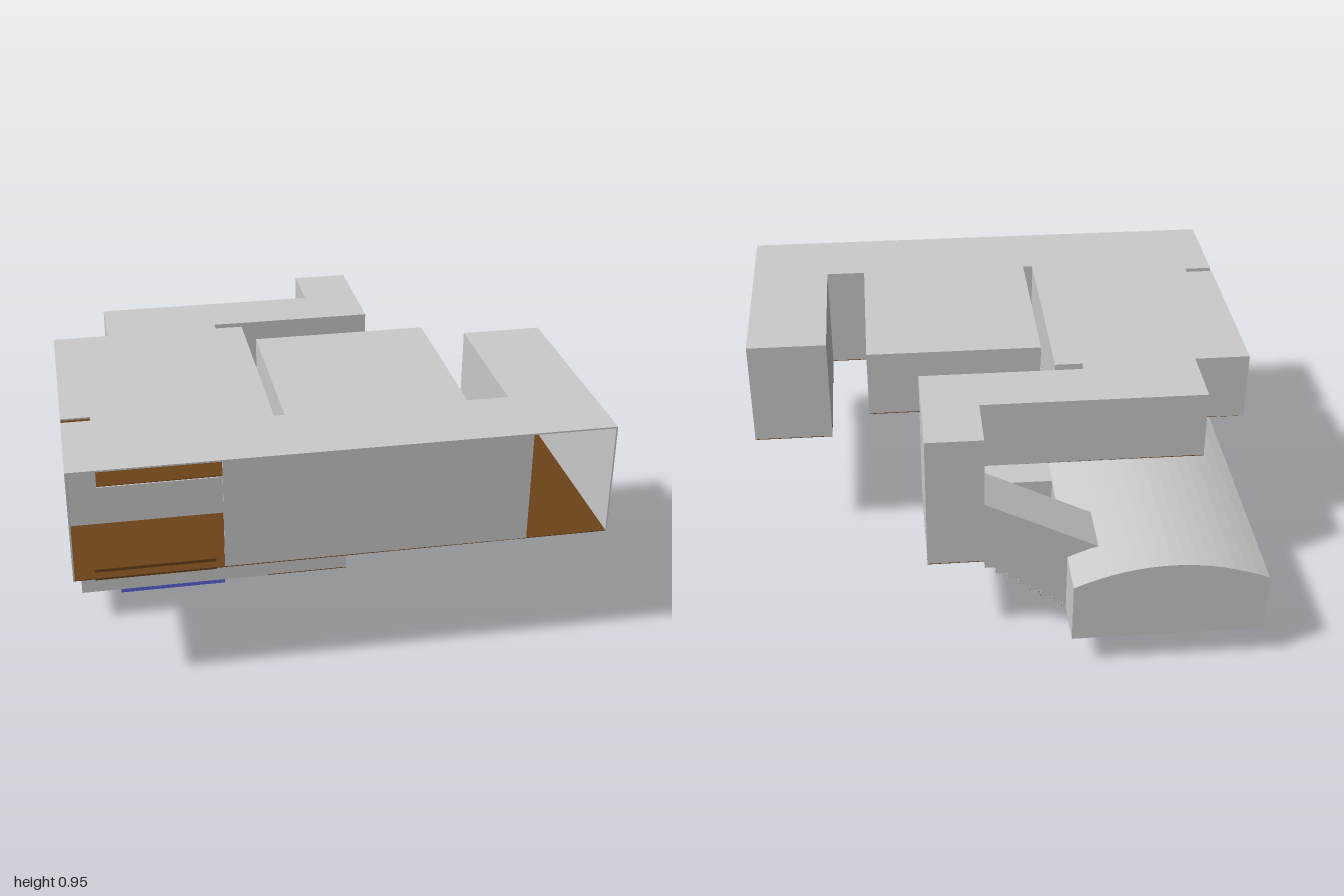
import * as THREE from 'three';

const grey = new THREE.MeshStandardMaterial({ color: 0xcccccc });
const brown = new THREE.MeshStandardMaterial({ color: 0x6b4318 });
const blue = new THREE.MeshStandardMaterial({ color: 0x5a64dc });

const toShape = pts => new THREE.Shape(pts.map(([a, b]) => new THREE.Vector2(a, b)));

export function createModel() {
  const root = new THREE.Group();

  const group = name => {
    const g = new THREE.Group();
    g.name = name;
    root.add(g);
    return g;
  };
  const add = (parent, name, geometry, material) => {
    const mesh = new THREE.Mesh(geometry, material);
    mesh.name = name;
    parent.add(mesh);
  };
  // Box from its two extreme corners
  const box = (parent, name, x0, x1, y0, y1, z0, z1, material = grey) => {
    const g = new THREE.BoxGeometry(x1 - x0, y1 - y0, z1 - z0);
    g.translate((x0 + x1) / 2, (y0 + y1) / 2, (z0 + z1) / 2);
    add(parent, name, g, material);
  };
  // Horizontal slab from an (x, z) outline
  const slab = (parent, name, pts, y0, y1, material) => {
    const s = toShape(pts.map(([x, z]) => [x, -z]));
    const g = new THREE.ExtrudeGeometry(s, { depth: y1 - y0, bevelEnabled: false });
    g.rotateX(-Math.PI / 2).translate(0, y0, 0);
    add(parent, name, g, material);
  };
  // Prism from an (x, y) profile running along z
  const prism = (parent, name, pts, z0, z1) => {
    const g = new THREE.ExtrudeGeometry(toShape(pts), { depth: z1 - z0, bevelEnabled: false });
    g.translate(0, 0, z0);
    add(parent, name, g, grey);
  };

  // ---- Upper storey ----
  const upper = group('upperStorey');
  const TOP = 0.95, MAIN = 0.51, RAISED = 0.67, T = 0.006, FLOOR = 0.003;

  slab(upper, 'flatRoof', [
    [-1, 0.93], [1, 0.93], [1, 0], [0.68, 0], [0.68, 0.62], [0.52, 0.62], [0.52, -0.09],
    [-0.18, -0.09], [-0.18, 0.62], [-0.22, 0.62], [-0.22, -0.23], [-0.33, -0.23], [-0.33, -0.27],
    [0.32, -0.27], [0.32, -0.74], [0.1, -0.74], [0.1, -0.5], [-0.78, -0.5], [-0.78, -0.23],
    [-1, -0.23], [-1, 0.51], [-0.89, 0.51], [-0.89, 0.54], [-1, 0.54],
  ], TOP - 0.006, TOP, grey);

  // Low floor along the front, raised floors behind it
  slab(upper, 'mainFloor', [
    [-1, 0.93], [1, 0.93], [1, 0], [0.68, 0], [0.68, 0.62], [-0.22, 0.62], [-0.22, 0.54], [-1, 0.54],
  ], MAIN, MAIN + FLOOR, brown);
  slab(upper, 'raisedFloor', [
    [-1, 0.51], [-0.89, 0.51], [-0.89, 0.54], [-0.22, 0.54],
    [-0.22, -0.23], [-0.33, -0.23], [-0.33, -0.27], [0.1, -0.27],
    [0.1, -0.5], [-0.78, -0.5], [-0.78, -0.23], [-1, -0.23],
  ], RAISED, RAISED + FLOOR, brown);
  slab(upper, 'middleRoomFloor', [
    [-0.18, 0.62], [0.52, 0.62], [0.52, -0.09], [-0.18, -0.09],
  ], RAISED, RAISED + FLOOR, brown);
  box(upper, 'floorRiser', -1, -0.22, MAIN, RAISED, 0.54, 0.54 + T);
  box(upper, 'middleFloorRiser', -0.22, 0.52, MAIN, RAISED, 0.62, 0.62 + T);

  // Thin walls along runs of corners, leaving the front and side openings free
  const walls = (name, y0, pts) => {
    for (let i = 0; i + 1 < pts.length; i++) {
      const [ax, az] = pts[i], [bx, bz] = pts[i + 1];
      box(upper, name, Math.min(ax, bx) - T / 2, Math.max(ax, bx) + T / 2, y0, TOP - 0.001,
        Math.min(az, bz) - T / 2, Math.max(az, bz) + T / 2);
    }
  };
  walls('frontWall', MAIN, [[-0.45, 0.927], [0.68, 0.927]]);
  walls('wingWall', MAIN, [
    [0.997, 0.927], [0.997, 0.003], [0.683, 0.003], [0.683, 0.623], [0.517, 0.623],
  ]);
  walls('middleRoomWall', RAISED, [
    [0.517, 0.623], [0.517, -0.087], [-0.177, -0.087], [-0.177, 0.623], [-0.223, 0.623],
    [-0.223, -0.227], [-0.333, -0.227], [-0.333, -0.273], [0.1, -0.273],
  ]);
  walls('raisedBackWall', RAISED, [
    [0.1, -0.497], [-0.777, -0.497], [-0.777, -0.227], [-0.997, -0.227], [-0.997, -0.13],
  ]);
  walls('cornerWall', MAIN, [[-0.997, 0.927], [-0.997, 0.543], [-0.89, 0.543]]);

  // Shallow tray under the open corner
  box(upper, 'tray', -0.92, -0.48, 0.48, 0.525, 0.62, 0.89, brown);
  box(upper, 'trayStep', -0.93, -0.48, 0.48, MAIN, 0.55, 0.62);

  // ---- Stair tower and covered stair ----
  const tower = group('stairTower');
  box(tower, 'towerBody', 0.1, 0.32, 0.393, TOP - 0.001, -0.74, -0.27);
  box(tower, 'towerFloor', 0.1, 0.32, 0.39, 0.393, -0.74, -0.27, brown);

  // Sloping cover with a stepped underside
  const steps = 8, run = 0.35 / steps, rise = 0.25 / steps;
  const profile = [[0.1, 0.66], [-0.35, 0.43], [-0.35, 0.3], [-0.25, 0.14]];
  for (let i = 0; i < steps; i++) {
    const x = -0.25 + run * i, y = 0.14 + rise * i;
    profile.push([x + run, y], [x + run, y + rise]);
    box(tower, 'stairTread', x, x + run, y - 0.003, y + 0.003, -0.735, -0.525, brown);
  }
  prism(tower, 'coveredStair', profile, -0.74, -0.52);

  // ---- Lower storey ----
  const lower = group('lowerStorey');
  const vault = [[-0.97, 0.14], [-0.22, 0.14]];
  for (let i = 0; i <= 16; i++) {
    const u = i / 16;
    vault.push([-0.22 - 0.75 * u, 0.39 + 0.085 * (1 - (2 * u - 1) ** 2)]);
  }
  prism(lower, 'vaultedHall', vault, -0.93, 0.44);
  box(lower, 'sideRoom', -0.22, 0.1, 0.143, 0.39, -0.23, 0.44);
  box(lower, 'sideRoomFloor', -0.22, 0.1, 0.14, 0.143, -0.23, 0.44, brown);

  // ---- Pool basin, a (z, y) profile running along x ----
  const pool = new THREE.ExtrudeGeometry(toShape([
    [-0.78, 0.15], [-0.78, 0.075], [-0.75, 0.065], [-0.53, 0.065], [-0.5, 0.045],
    [-0.22, 0], [0.28, 0.02], [0.28, 0.15],
  ]), { depth: 0.43, bevelEnabled: false });
  pool.rotateY(-Math.PI / 2).translate(-0.38, 0, 0);
  add(root, 'poolBasin', pool, blue);

  return root;
}
